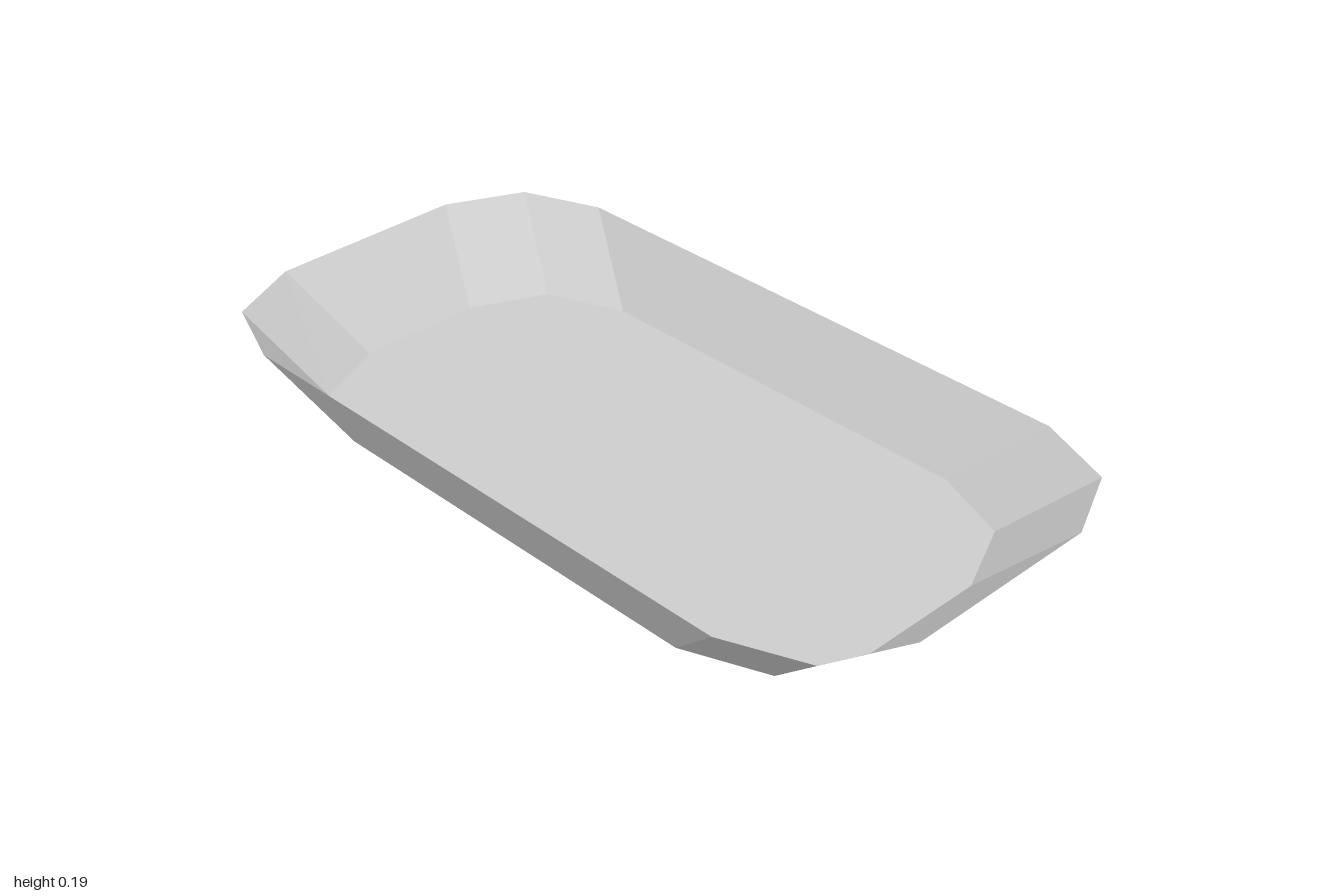
import * as THREE from 'three';

const HEIGHT = 0.19;

// Mirror the corner points of one quadrant into a closed 12-point ring, from +x towards +z
function ring(corner, y) {
  const back = [...corner].reverse();
  return [[corner, 1, 1], [back, -1, 1], [corner, -1, -1], [back, 1, -1]].flatMap(
    ([pts, sx, sz]) => pts.map(([x, z]) => new THREE.Vector3(x * sx, y, z * sz))
  );
}

function facetedMesh(name, points, material) {
  const geometry = new THREE.BufferGeometry().setFromPoints(points);
  geometry.computeVertexNormals();
  const mesh = new THREE.Mesh(geometry, material);
  mesh.name = name;
  return mesh;
}

export function createModel() {
  const group = new THREE.Group();
  group.name = 'tray';
  const grey = new THREE.MeshStandardMaterial({ color: 0xcccccc, side: THREE.DoubleSide });
  grey.name = 'light grey';

  const base = ring([[0.81, 0.16], [0.724, 0.35], [0.525, 0.428]], 0);
  const rim = ring([[1, 0.253], [0.912, 0.444], [0.715, 0.523]], HEIGHT);
  const centre = new THREE.Vector3();

  // Flat floor as a fan, and sloping walls as one flat panel per side
  const floor = [];
  const walls = [];
  base.forEach((a, i) => {
    const j = (i + 1) % base.length;
    floor.push(centre, base[j], a);
    walls.push(a, rim[i], rim[j], a, rim[j], base[j]);
  });

  group.add(facetedMesh('floor', floor, grey), facetedMesh('slopingWalls', walls, grey));
  return group;
}
